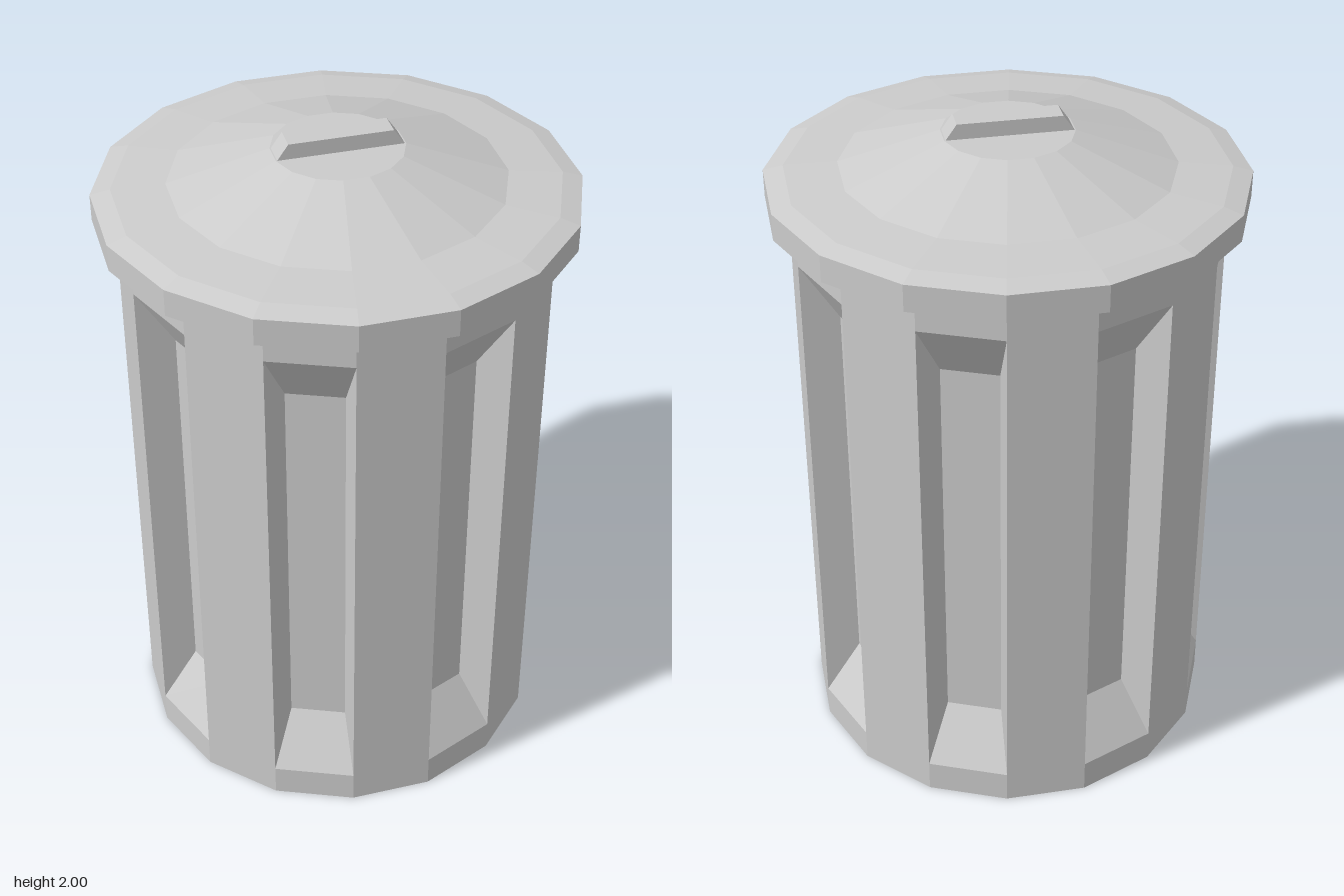
import * as THREE from 'three';

const SIDES = 16;
const STEP = (Math.PI * 2) / SIDES;
const RADIUS = 0.623;
const BODY_TOP = 1.75;

const material = new THREE.MeshStandardMaterial({ color: 0xcccccc, flatShading: true });

function addMesh(group, name, geometry) {
  const mesh = new THREE.Mesh(geometry, material);
  mesh.name = name;
  group.add(mesh);
  return mesh;
}

// Sixteen-sided can: every other side has a sunken panel with sloping walls.
function bodyGeometry() {
  const positions = [];
  const tri = (...corners) => corners.forEach((c) => positions.push(...c));
  const quad = (a, b, c, d) => { tri(a, b, c); tri(a, c, d); };

  const outer = { dist: RADIUS * Math.cos(STEP / 2), half: RADIUS * Math.sin(STEP / 2) };
  const inner = { dist: 0.51, half: 0.083 };

  for (let i = 0; i < SIDES; i++) {
    const angle = (i + 0.5) * STEP;
    const s = Math.sin(angle), c = Math.cos(angle);
    // Point on this side: across is -1 (left) or 1 (right) seen from outside
    const point = (level, across, y) => [
      level.dist * s + across * level.half * c, y, level.dist * c - across * level.half * s,
    ];
    // Corners counter-clockwise from bottom left
    const rect = (level, y0, y1) => [
      point(level, -1, y0), point(level, 1, y0), point(level, 1, y1), point(level, -1, y1),
    ];

    if (i % 2 === 0) {
      quad(...rect(outer, 0, BODY_TOP));
    } else {
      quad(...rect(outer, 0, 0.1));
      quad(...rect(outer, 1.655, BODY_TOP));
      const rim = rect(outer, 0.1, 1.655);
      const floor = rect(inner, 0.27, 1.48);
      quad(...floor);
      for (let k = 0; k < 4; k++) {
        const n = (k + 1) % 4;
        quad(rim[k], rim[n], floor[n], floor[k]);
      }
    }
    // Bottom wedge
    tri([0, 0, 0], point(outer, 1, 0), point(outer, -1, 0));
  }

  const geometry = new THREE.BufferGeometry();
  geometry.setAttribute('position', new THREE.Float32BufferAttribute(positions, 3));
  geometry.computeVertexNormals();
  return geometry;
}

export function createModel() {
  const group = new THREE.Group();
  group.name = 'trashCan';

  addMesh(group, 'body', bodyGeometry());

  // Lid: upright rim, shallow shoulder, cone and flat crown
  const lidProfile = [
    [0, 1.75], [0.687, 1.75], [0.687, 1.83], [0.63, 1.845],
    [0.477, 1.857], [0.188, 1.955], [0, 1.955],
  ].map(([x, y]) => new THREE.Vector2(x, y));
  addMesh(group, 'lid', new THREE.LatheGeometry(lidProfile, SIDES));

  // Handle: tapered bar set diagonally on the crown
  const width = 0.072;
  const side = new THREE.Shape([
    [-0.184, 0], [0.184, 0], [0.149, 0.05], [-0.149, 0.05],
  ].map(([x, y]) => new THREE.Vector2(x, y)));
  const bar = new THREE.ExtrudeGeometry(side, { depth: width, bevelEnabled: false });
  bar.translate(0, 0, -width / 2);
  const handle = addMesh(group, 'handle', bar);
  handle.position.y = 1.95;
  handle.rotation.y = 0.98;

  return group;
}
